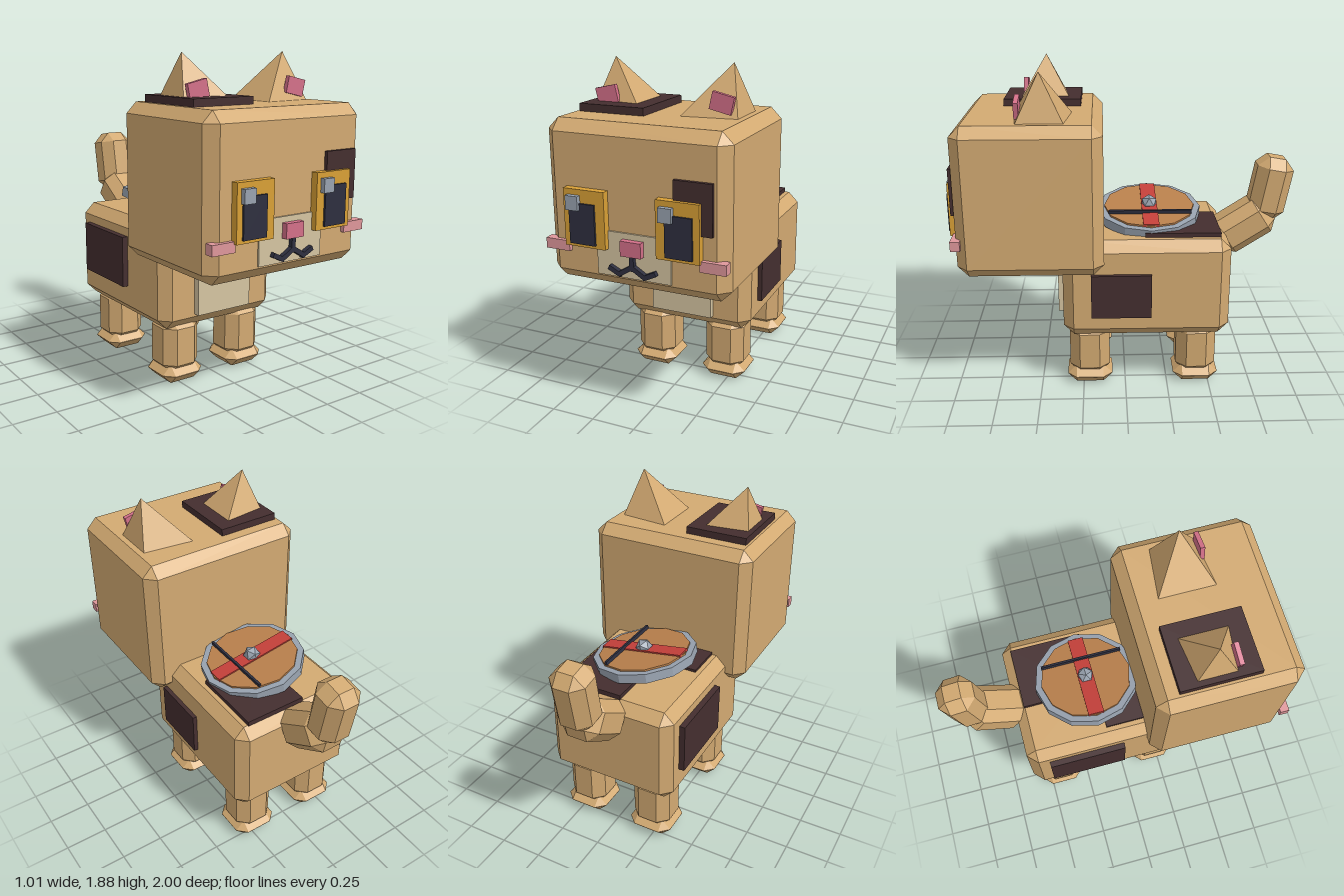
import * as THREE from 'three';
import { ConvexGeometry } from 'three/addons/geometries/ConvexGeometry.js';

const mat = (name, color) => {
  const m = new THREE.MeshStandardMaterial({ color, flatShading: true });
  m.name = name;
  return m;
};

export function createModel() {
  const tan = mat('tan fur', 0xd3aa72);
  const dark = mat('dark brown patch', 0x442e2f);
  const cream = mat('cream fur', 0xd6c5a2);
  const amber = mat('amber eye', 0xd9a036);
  const navy = mat('navy black', 0x2e2f3f);
  const steel = mat('steel grey', 0x99a3b0);
  const pink = mat('pink', 0xd47089);
  const blush = mat('blush pink', 0xdf979b);
  const red = mat('red', 0xc5403a);
  const copper = mat('copper brown', 0xb9804c);

  const model = new THREE.Group();
  model.name = 'cat';

  const add = (parent, name, geometry, material, x = 0, y = 0, z = 0) => {
    const mesh = new THREE.Mesh(geometry, material);
    mesh.name = name;
    mesh.position.set(x, y, z);
    parent.add(mesh);
    return mesh;
  };

  // Box with every edge cut at 45 degrees
  const chamferBox = (w, h, d, c = 0.06) => {
    const points = [];
    for (const sx of [-1, 1]) for (const sy of [-1, 1]) for (const sz of [-1, 1]) {
      const [x, y, z] = [w / 2, h / 2, d / 2];
      points.push(new THREE.Vector3(sx * x, sy * (y - c), sz * (z - c)));
      points.push(new THREE.Vector3(sx * (x - c), sy * y, sz * (z - c)));
      points.push(new THREE.Vector3(sx * (x - c), sy * (y - c), sz * z));
    }
    return new ConvexGeometry(points);
  };

  // Plain box given by its extents
  const slab = (parent, name, material, x0, x1, y0, y1, z0, z1) =>
    add(parent, name, new THREE.BoxGeometry(x1 - x0, y1 - y0, z1 - z0), material,
      (x0 + x1) / 2, (y0 + y1) / 2, (z0 + z1) / 2);

  // Body and its patches
  add(model, 'body', chamferBox(0.79, 0.59, 0.965), tan, 0, 0.635, -0.121);
  slab(model, 'chest', cream, -0.184, 0.184, 0.415, 0.85, 0.34, 0.397);
  slab(model, 'leftSidePatch', dark, 0.38, 0.42, 0.48, 0.742, -0.147, 0.198);
  slab(model, 'rightSidePatch', dark, -0.429, -0.38, 0.52, 0.82, -0.48, -0.02);
  slab(model, 'backPatchRear', dark, -0.063, 0.307, 0.91, 0.955, -0.548, -0.115);
  slab(model, 'backPatchFront', dark, -0.307, 0.02, 0.91, 0.945, -0.105, 0.2);

  // Legs and paws
  const legGeometry = chamferBox(0.237, 0.34, 0.237);
  const pawGeometry = chamferBox(0.268, 0.11, 0.268, 0.054);
  for (const [end, z] of [['front', 0.212], ['back', -0.422]]) {
    for (const [side, s] of [['Left', 1], ['Right', -1]]) {
      add(model, `${end}${side}Leg`, legGeometry, tan, s * 0.222, 0.22, z);
      add(model, `${end}${side}Paw`, pawGeometry, tan, s * 0.222, 0.055, z);
    }
  }

  // Tail in two segments
  add(model, 'tailBase', chamferBox(0.24, 0.365, 0.235), tan, 0, 0.9, -0.72).rotation.x = -0.995;
  add(model, 'tailTip', chamferBox(0.217, 0.38, 0.217), tan, 0, 1.131, -0.871).rotation.x = -0.175;

  // Head
  const head = new THREE.Group();
  head.name = 'head';
  model.add(head);
  add(head, 'skull', chamferBox(1.01, 0.85, 0.81), tan, 0, 1.19, 0.527);
  slab(head, 'crownPatch', dark, -0.43, -0.057, 1.6, 1.656, 0.248, 0.695);
  slab(head, 'eyePatch', dark, 0.227, 0.43, 1.117, 1.38, 0.92, 0.952);
  slab(head, 'muzzle', cream, -0.207, 0.207, 0.835, 1.073, 0.92, 0.942);
  slab(head, 'nose', pink, -0.058, 0.058, 0.962, 1.042, 0.92, 0.975);

  // Four-sided ears leaning outwards
  const earGeometry = new THREE.ConeGeometry(0.23, 0.306, 4).rotateY(Math.PI / 4);
  const innerEarGeometry = new THREE.BoxGeometry(0.12, 0.092, 0.026);
  for (const [side, s] of [['left', 1], ['right', -1]]) {
    add(head, `${side}Ear`, earGeometry, tan, s * 0.305, 1.728, 0.458).rotation.z = -s * 0.224;
    add(head, `${side}InnerEar`, innerEarGeometry, pink, s * 0.325, 1.69, 0.58).rotation.z = -s * 0.22;
    // Eyes and cheeks
    const e = s * 0.257;
    slab(head, `${side}Eye`, amber, e - 0.116, e + 0.116, 0.978, 1.28, 0.92, 0.973);
    const p = s * 0.266;
    slab(head, `${side}Pupil`, navy, p - 0.073, p + 0.073, 0.995, 1.21, 0.96, 0.984);
    const g = s > 0 ? 0.202 : -0.312;
    slab(head, `${side}EyeGlint`, steel, g - 0.035, g + 0.035, 1.175, 1.25, 0.96, 1.0);
    const c = s * 0.434;
    slab(head, `${side}Cheek`, blush, c - 0.07, c + 0.07, 0.936, 0.992, 0.902, 0.955);
    // Mouth curve
    const bar = new THREE.BoxGeometry(0.078, 0.025, 0.035);
    add(head, `${side}MouthInner`, bar, navy, s * 0.034, 0.884, 0.95).rotation.z = -s * 0.55;
    add(head, `${side}MouthOuter`, bar, navy, s * 0.096, 0.873, 0.95).rotation.z = s * 0.45;
  }
  slab(head, 'mouthStem', navy, -0.012, 0.012, 0.885, 0.965, 0.93, 0.967);

  // Round dial lying tilted on the back
  const dial = new THREE.Group();
  dial.name = 'dial';
  dial.position.set(0, 0.99, -0.15);
  dial.rotation.z = -0.16;
  model.add(dial);
  add(dial, 'dialRim', new THREE.CylinderGeometry(0.305, 0.305, 0.056, 12), steel);
  add(dial, 'dialFace', new THREE.CylinderGeometry(0.268, 0.268, 0.02, 12), copper, 0, 0.029, 0);
  slab(dial, 'dialStripe', red, -0.26, 0.26, 0.03, 0.047, -0.046, 0.046);
  slab(dial, 'dialNeedle', navy, 0.108, 0.122, 0.04, 0.062, -0.243, 0.243);
  add(dial, 'dialHub', new THREE.IcosahedronGeometry(0.05, 0), steel, 0, 0.05, 0);

  return model;
}
